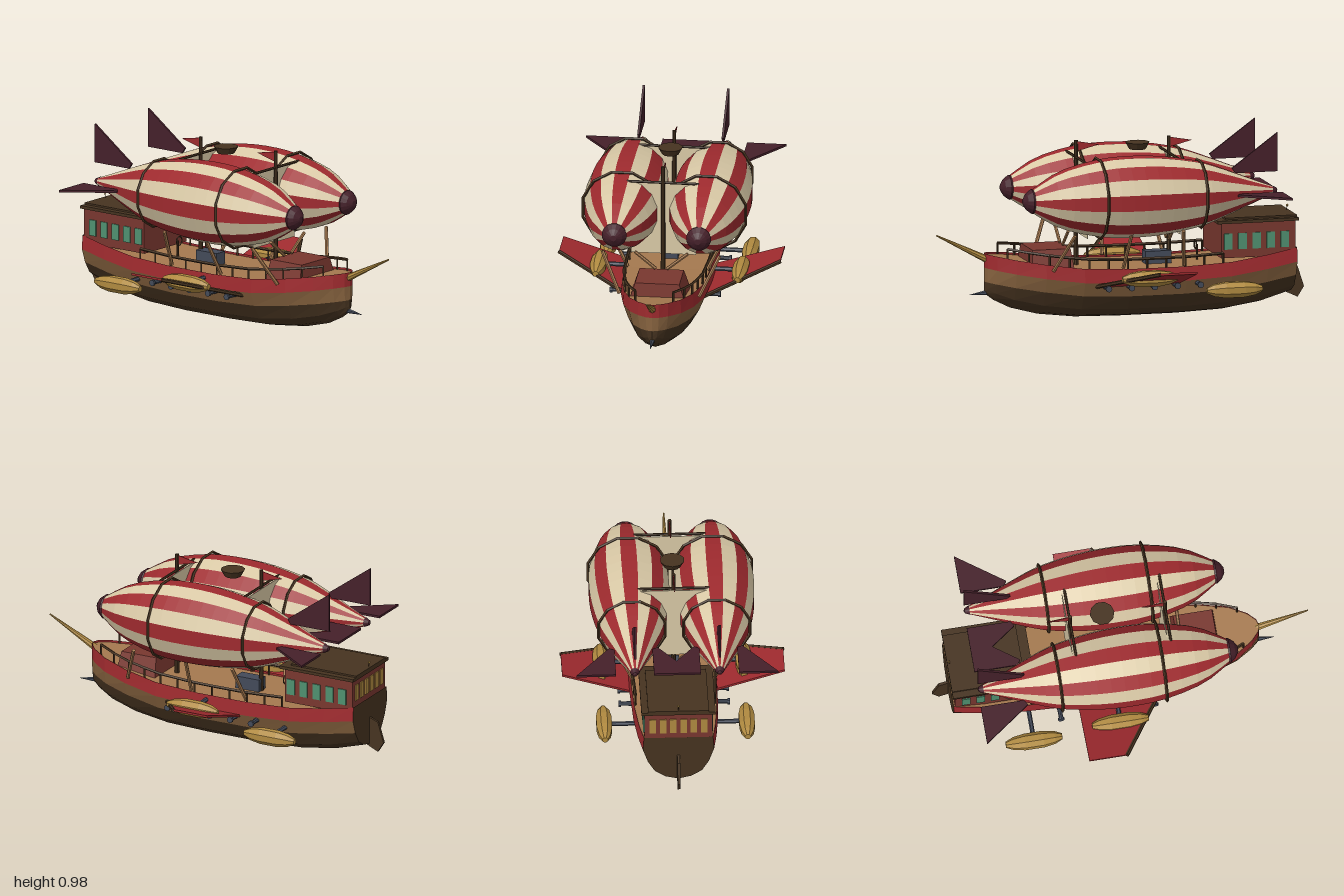
import * as THREE from 'three';

const mat = (name, color) => Object.assign(
  new THREE.MeshStandardMaterial({ color, flatShading: true, side: THREE.DoubleSide }), { name });
const V = (x, y, z) => new THREE.Vector3(x, y, z);

// Hull stations: z, half width, sheer height, keel height
const stations = [
  [0.74, 0, 0.365, 0.155], [0.73, 0.035, 0.364, 0.145], [0.69, 0.08, 0.358, 0.115], [0.6, 0.138, 0.343, 0.07],
  [0.45, 0.187, 0.32, 0.03], [0.25, 0.222, 0.295, 0.006], [0, 0.232, 0.285, 0], [-0.3, 0.231, 0.285, 0],
  [-0.55, 0.222, 0.295, 0.01], [-0.75, 0.207, 0.322, 0.04], [-0.915, 0.187, 0.35, 0.09]];

// Interpolated half width and sheer height at any z
function sheer(z) {
  let i = 0;
  while (i < stations.length - 2 && stations[i + 1][0] > z) i++;
  const a = stations[i], b = stations[i + 1], t = (z - a[0]) / (b[0] - a[0]);
  return { w: a[1] + (b[1] - a[1]) * t, y: a[2] + (b[2] - a[2]) * t };
}

// Half cross-section from sheer to keel
function section([z, w, yt, yk]) {
  const y2 = yt - 0.15, at = f => yk + (y2 - yk) * f;
  return [V(w * 0.97, yt, z), V(w, yt - 0.075, z), V(w * 0.86, y2, z),
    V(w * 0.66, at(0.45), z), V(w * 0.36, at(0.14), z), V(0, yk, z)];
}

// Quad strip surface through rows of points
function loft(rows) {
  const pos = [], idx = [], n = rows[0].length;
  rows.forEach(r => r.forEach(p => pos.push(p.x, p.y, p.z)));
  for (let i = 0; i < rows.length - 1; i++) for (let j = 0; j < n - 1; j++) {
    const a = i * n + j, b = a + n;
    idx.push(a, a + 1, b, b, a + 1, b + 1);
  }
  const g = new THREE.BufferGeometry();
  g.setAttribute('position', new THREE.Float32BufferAttribute(pos, 3));
  g.setIndex(idx);
  g.computeVertexNormals();
  return g;
}

// Flat plate outlined by [x, z] pairs, lying level
function plate(pts, t) {
  const s = new THREE.Shape(pts.map(([x, z]) => new THREE.Vector2(x, -z)));
  return new THREE.ExtrudeGeometry(s, { depth: t, bevelEnabled: false }).translate(0, 0, -t / 2).rotateX(-Math.PI / 2);
}

export function createModel() {
  const model = new THREE.Group();
  model.name = 'airship';
  const cream = mat('cream canvas', 0xd9c9a6), red = mat('red', 0x9e2a2e), maroon = mat('maroon', 0x45202a),
    dark = mat('dark wood', 0x463320), plank = mat('hull plank', 0x87633f), tan = mat('deck wood', 0xa5794f),
    brass = mat('brass', 0xb08a40), steel = mat('steel', 0x434a59), cabinRed = mat('cabin red', 0x79372f),
    green = mat('green glass', 0x4f9070);

  const add = (name, geo, m, x = 0, y = 0, z = 0, parent = model) => {
    const mesh = new THREE.Mesh(geo, m);
    mesh.name = name;
    mesh.position.set(x, y, z);
    parent.add(mesh);
    return mesh;
  };
  const box = (name, m, w, h, d, x, y, z) => add(name, new THREE.BoxGeometry(w, h, d), m, x, y, z);
  const rod = (name, m, a, b, r0, r1 = r0, sides = 6) => {
    const d = b.clone().sub(a), mid = a.clone().add(b).multiplyScalar(0.5);
    const mesh = add(name, new THREE.CylinderGeometry(r1, r0, d.length(), sides), m, mid.x, mid.y, mid.z);
    mesh.quaternion.setFromUnitVectors(V(0, 1, 0), d.normalize());
    return mesh;
  };

  // Hull bands, deck and transom
  const secs = stations.map(section);
  const mirror = r => r.map(p => V(-p.x, p.y, p.z));
  [['upperHull', red, 0, 2], ['middleHull', plank, 1, 3], ['lowerHull', dark, 2, 6]].forEach(([name, m, a, b]) => {
    add(name + 'Left', loft(secs.map(s => s.slice(a, b))), m);
    add(name + 'Right', loft(secs.map(s => mirror(s.slice(a, b)).reverse())), m);
  });
  add('deck', loft(secs.map(s => [V(-s[0].x, s[0].y - 0.012, s[0].z), V(s[0].x, s[0].y - 0.012, s[0].z)])), tan);
  const stern = secs[secs.length - 1];
  add('transom', loft([mirror(stern), stern]), dark);

  // Rudder, bowsprit and ram
  add('rudder', plate([[0.245, -0.9], [0.22, -0.965], [0.11, -1], [0.055, -0.965], [0.085, -0.9]], 0.014)
    .rotateZ(Math.PI / 2), dark);
  rod('bowsprit', brass, V(0, 0.31, 0.68), V(0, 0.472, 1), 0.022, 0.004, 8);
  rod('ram', steel, V(0, 0.16, 0.68), V(0, 0.147, 0.82), 0.02, 0.001, 6);

  // Fore cabin with tapered top
  const fore = new THREE.BoxGeometry(0.3, 0.1, 0.23), fp = fore.attributes.position;
  for (let i = 0; i < fp.count; i++) if (fp.getY(i) > 0) fp.setXYZ(i, fp.getX(i) * 0.78, 0.05, fp.getZ(i) * 0.9);
  add('foreCabin', fore, cabinRed, 0, 0.34, 0.405);

  // Stern cabin, windows and roof
  box('sternCabin', cabinRed, 0.356, 0.19, 0.405, 0, 0.405, -0.705);
  box('cabinRoof', dark, 0.39, 0.016, 0.44, 0, 0.503, -0.7);
  box('roofTrim', dark, 0.32, 0.012, 0.39, 0, 0.514, -0.725);
  for (let i = 0; i < 5; i++) for (const s of [-1, 1])
    box('sideWindow', green, 0.008, 0.085, 0.045, s * 0.18, 0.398, -0.54 - i * 0.077);
  for (let i = 0; i < 6; i++) box('sternWindow', brass, 0.034, 0.085, 0.008, (i - 2.5) * 0.054, 0.42, -0.91);
  add('sternLantern', new THREE.SphereGeometry(0.007, 6, 5), brass, 0, 0.545, -0.91);
  rod('lanternPost', dark, V(0, 0.51, -0.905), V(0, 0.54, -0.91), 0.002);

  // Deck fittings
  box('engineBlock', steel, 0.07, 0.07, 0.14, 0, 0.305, -0.2);
  rod('wheelPost', dark, V(0, 0.27, -0.42), V(0, 0.36, -0.42), 0.006);
  add('wheel', new THREE.TorusGeometry(0.024, 0.004, 4, 10), dark, 0, 0.36, -0.41);

  // Masts, yards, sails and flags
  for (const z of [0.24, -0.265]) {
    rod('mast', dark, V(0, 0.27, z), V(0, 0.945, z), 0.013, 0.01, 8);
    rod('yard', dark, V(-0.19, 0.855, z), V(0.19, 0.855, z), 0.007);
    box('sail', cream, 0.345, 0.405, 0.004, 0, 0.65, z - 0.016);
    add('flag', plate([[0.94, z], [0.917, z - 0.125], [0.885, z]], 0.004).rotateZ(Math.PI / 2), red);
  }
  add('crowsNest', new THREE.CylinderGeometry(0.065, 0.045, 0.036, 10), dark, 0, 0.902, -0.095);

  // Balloons built from sixteen gores each
  const profile = new THREE.SplineCurve([[0.016, -0.782], [0.068, -0.65], [0.128, -0.5], [0.172, -0.37], [0.205, -0.18],
    [0.215, 0], [0.203, 0.18], [0.15, 0.39], [0.062, 0.54]].map(p => new THREE.Vector2(...p))).getPoints(20);
  const caps = [
    ['noseCap', [[0.064, 0.535], [0.066, 0.545], [0.045, 0.572], [0.016, 0.59], [0, 0.59]]],
    ['tailCap', [[0, -0.795], [0.013, -0.79], [0.025, -0.765]]]];
  const gore = Math.PI / 8;
  for (const s of [-1, 1]) {
    const balloon = new THREE.Group();
    balloon.name = s > 0 ? 'leftBalloon' : 'rightBalloon';
    balloon.position.set(s * 0.223, 0.67, 0);
    model.add(balloon);
    for (let k = 0; k < 16; k++)
      add('gore', new THREE.LatheGeometry(profile, 1, (k - 0.5) * gore, gore).rotateX(Math.PI / 2),
        k % 2 ? cream : red, 0, 0, 0, balloon);
    for (const [name, pts] of caps)
      add(name, new THREE.LatheGeometry(pts.map(p => new THREE.Vector2(...p)), 16, gore / 2).rotateX(Math.PI / 2),
        maroon, 0, 0, 0, balloon);
    for (const [z, r] of [[0.18, 0.214], [-0.37, 0.181]])
      add('hoop', new THREE.TorusGeometry(r, 0.008, 4, 12).rotateZ(Math.PI / 12), dark, 0, 0, z, balloon);
    for (let k = 0; k < 3; k++)
      add('tailFin', plate([[0.1, -0.795], [0.307, -0.795], [0.127, -0.547], [0.1, -0.565]], 0.012), maroon,
        0, 0, 0, balloon).rotation.z = k * Math.PI / 2;
  }

  // Parts repeated on both sides
  const podPts = [[0, -0.15], [0.016, -0.15], [0.034, -0.11], [0.044, -0.05], [0.044, 0.05], [0.034, 0.11],
    [0.016, 0.15], [0, 0.15]].map(p => new THREE.Vector2(...p));
  for (const s of [-1, 1]) {
    // Swept wing rising outward, with a leading spar
    const lift = x => 0.2 + 0.31 * (x - 0.22);
    const wing = plate([[0.2, 0.19], [0.585, -0.06], [0.585, -0.26], [0.2, -0.26]], 0.012), wp = wing.attributes.position;
    for (let i = 0; i < wp.count; i++) wp.setXYZ(i, s * wp.getX(i), wp.getY(i) + lift(wp.getX(i)), wp.getZ(i));
    add('wing', wing, red);
    rod('wingSpar', dark, V(s * 0.2, lift(0.2), 0.19), V(s * 0.585, lift(0.585), -0.06), 0.011);

    // Engine pods on pylons
    for (const [y, z] of [[0.257, -0.06], [0.177, -0.52]]) {
      add('enginePod', new THREE.LatheGeometry(podPts, 8, Math.PI / 8).rotateX(Math.PI / 2), brass, s * 0.375, y, z);
      rod('pylon', steel, V(s * 0.18, y, z), V(s * 0.36, y, z), 0.012);
    }

    // Cannons
    for (let i = 0; i < 5; i++) {
      const z = 0.14 - i * 0.125;
      rod('cannon', steel, V(s * 0.18, 0.195, z), V(s * 0.285, 0.195, z), 0.014, 0.011, 8);
      rod('muzzle', steel, V(s * 0.28, 0.195, z), V(s * 0.293, 0.195, z), 0.017, 0.017, 8);
    }

    // Struts holding the balloons
    for (const [z0, z1] of [[0.42, 0.33], [0.04, 0.02], [-0.29, -0.26]])
      rod('outerStrut', tan, V(s * 0.21, 0.29, z0), V(s * 0.31, 0.49, z1), 0.01);
    for (const z of [0.32, -0.26]) rod('innerStrut', tan, V(s * 0.03, 0.4, z), V(s * 0.14, 0.49, z), 0.009);

    // Railing following the sheer
    const zs = Array.from({ length: 12 }, (_, i) => 0.64 - i * 0.104);
    const pts = zs.map(z => V(s * (sheer(z).w * 0.97 - 0.008), sheer(z).y + 0.05, z));
    pts.forEach((p, i) => {
      rod('railPost', dark, V(p.x, p.y - 0.06, p.z), p, 0.006, 0.006, 4);
      if (i) rod('rail', dark, pts[i - 1], p, 0.008, 0.008, 4);
    });
  }
  return model;
}
